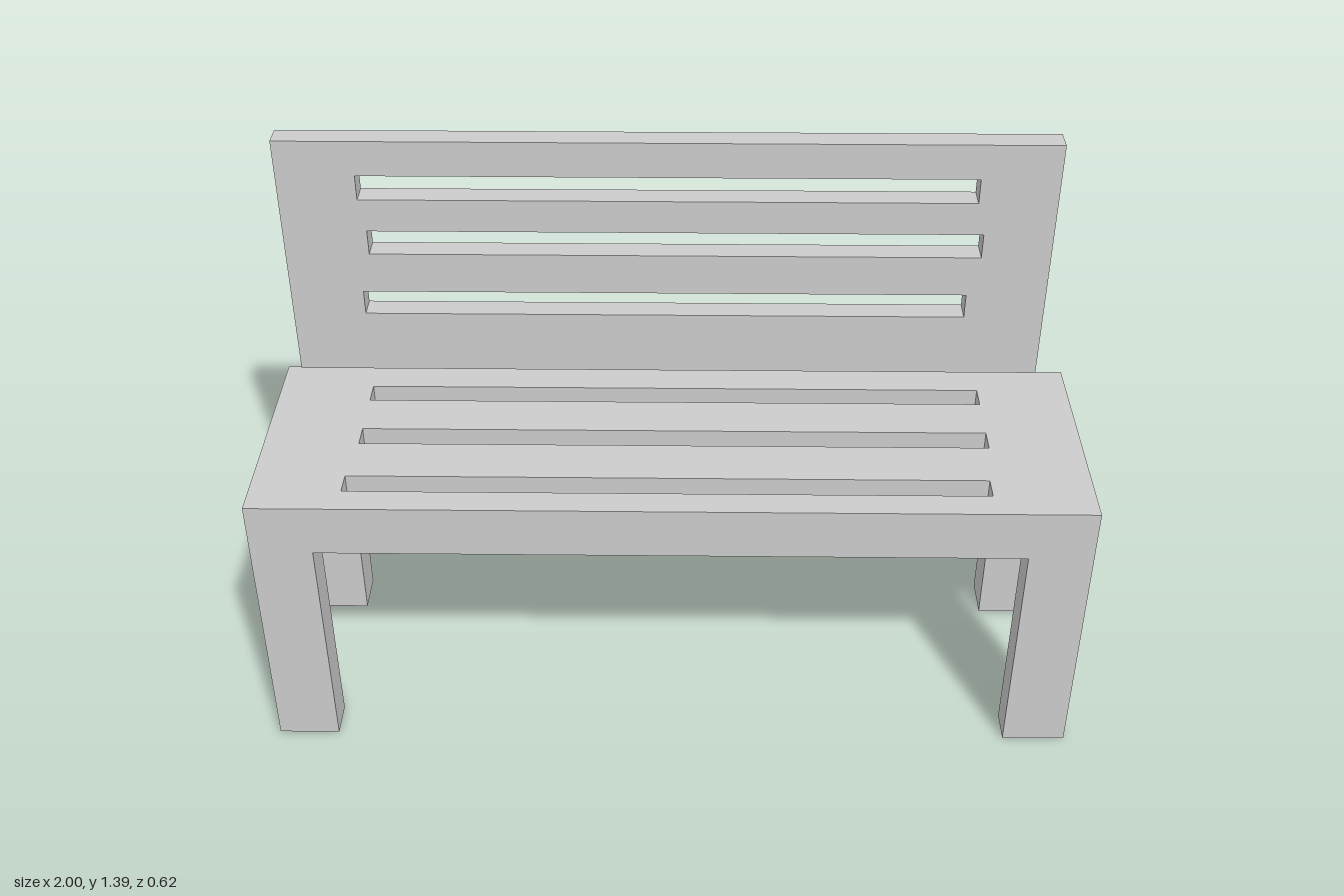
import * as THREE from 'three';

const material = new THREE.MeshStandardMaterial({ color: 0xcccccc, flatShading: true });

// Box given by its lower and upper limits on each axis
function box(name, [x0, x1], [y0, y1], [z0, z1]) {
  const mesh = new THREE.Mesh(new THREE.BoxGeometry(x1 - x0, y1 - y0, z1 - z0), material);
  mesh.position.set((x0 + x1) / 2, (y0 + y1) / 2, (z0 + z1) / 2);
  mesh.name = name;
  return mesh;
}

function rectangle(path, [x0, x1, y0, y1]) {
  path.moveTo(x0, y0);
  path.lineTo(x1, y0);
  path.lineTo(x1, y1);
  path.lineTo(x0, y1);
  path.closePath();
  return path;
}

// Flat panel with rectangular slots cut through it, lying in the xy plane
function slottedPanel(name, outline, slots, depth) {
  const shape = rectangle(new THREE.Shape(), outline);
  shape.holes = slots.map((s) => rectangle(new THREE.Path(), s));
  const geometry = new THREE.ExtrudeGeometry(shape, { depth, bevelEnabled: false });
  const mesh = new THREE.Mesh(geometry, material);
  mesh.name = name;
  return mesh;
}

export function createModel() {
  const bench = new THREE.Group();
  bench.name = 'bench';

  // Backrest, floating just above the seat
  const backrest = slottedPanel('backrest', [-0.957, 0.925, 0.746, 1.388], [
    [-0.765, 0.733, 1.233, 1.297],
    [-0.75, 0.754, 1.083, 1.147],
    [-0.775, 0.727, 0.912, 0.976],
  ], 0.06);
  backrest.position.z = -0.309;
  bench.add(backrest);

  // Seat top; the panel's y becomes -z when laid flat
  const seat = slottedPanel('seat', [-1, 1, -0.31, 0.29], [
    [-0.767, 0.772, 0.14, 0.202],
    [-0.767, 0.772, -0.047, 0.015],
    [-0.78, 0.757, -0.24, -0.18],
  ], 0.112);
  seat.rotation.x = -Math.PI / 2;
  seat.position.y = 0.61;
  bench.add(seat);

  // Thin lower layer of the seat, cut back at both ends between the legs
  const underside = new THREE.Group();
  underside.name = 'seatUnderside';
  const layer = [0.59, 0.61];
  for (const z of [[-0.29, -0.202], [-0.14, -0.015], [0.047, 0.18], [0.24, 0.31]])
    underside.add(box('undersideSlat', [-0.767, 0.75], layer, z));
  underside.add(box('undersideEnd', [-0.85, -0.767], layer, [-0.29, 0.31]));
  underside.add(box('backRailEnd', [0.75, 0.845], layer, [-0.29, -0.18]));
  underside.add(box('frontRailEnd', [0.75, 0.845], layer, [0.23, 0.31]));
  bench.add(underside);

  // Legs
  for (const [side, x, frontZ] of [['Left', [0.845, 1], 0.23], ['Right', [-1, -0.85], 0.22]]) {
    bench.add(box('front' + side + 'Leg', x, [0, 0.61], [frontZ, 0.31]));
    bench.add(box('back' + side + 'Leg', x, [0, 0.61], [-0.29, -0.18]));
  }

  return bench;
}
